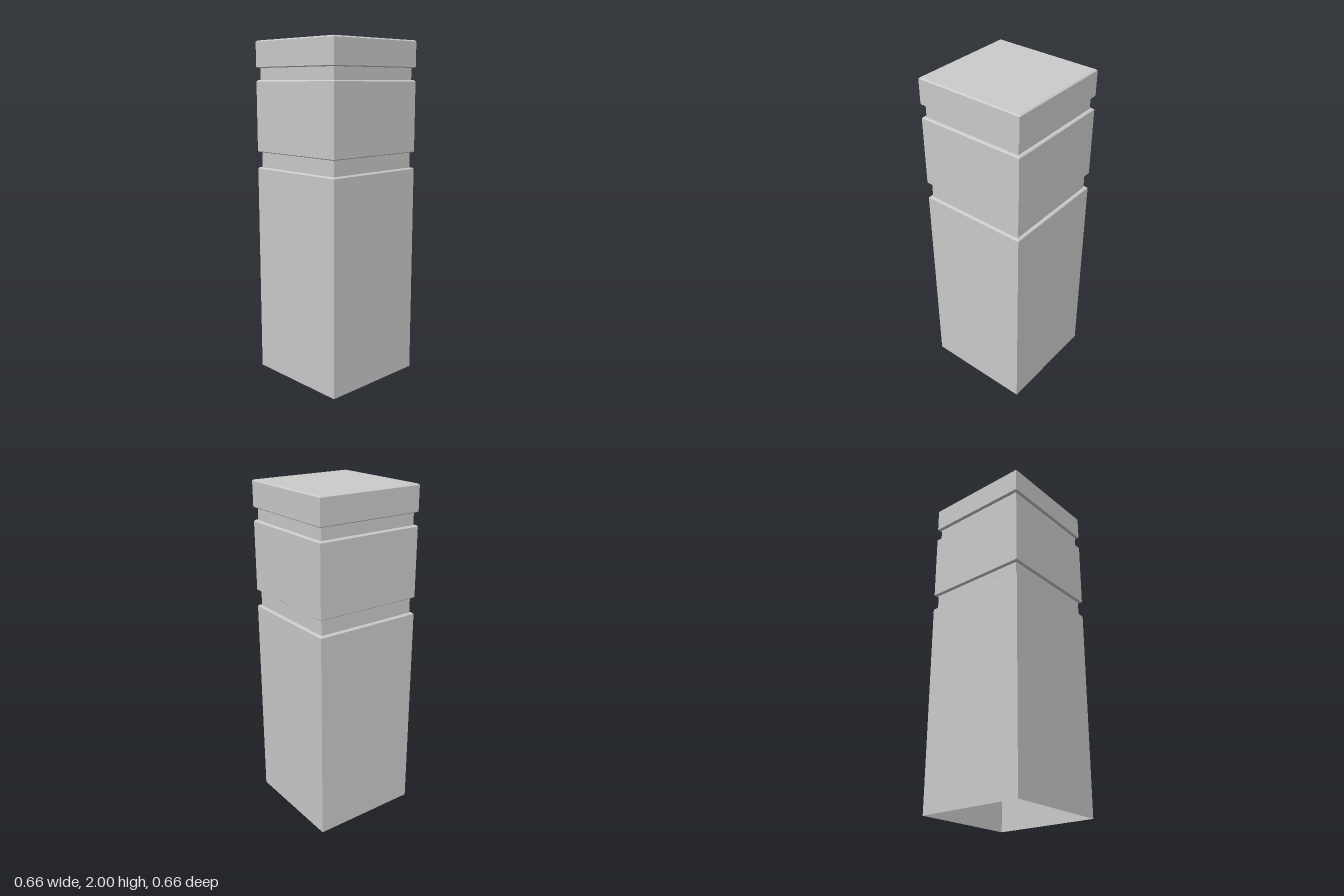
import * as THREE from 'three';

const HALF = 0.329;   // half width of the blocks
const NECK = 0.311;   // half width of the grooves
const BEVEL = 0.007;

// Square shell swept from a [halfWidth, y] profile, listed bottom to top
function squareShell(name, profile, material) {
  const points = profile.map(([r, y]) => new THREE.Vector2(r * Math.SQRT2, y));
  const mesh = new THREE.Mesh(new THREE.LatheGeometry(points, 4, Math.PI / 4), material);
  mesh.name = name;
  return mesh;
}

export function createModel() {
  const model = new THREE.Group();
  model.name = 'bollard';
  const material = new THREE.MeshStandardMaterial({
    color: 0xcccccc, flatShading: true, side: THREE.DoubleSide,
  });

  // Shaft, open at the bottom, with a bevelled shoulder
  model.add(squareShell('shaft', [
    [HALF, 0], [HALF, 1.255], [HALF - BEVEL, 1.262], [NECK, 1.262],
  ], material));

  // Block between the two grooves
  model.add(squareShell('middleBlock', [
    [NECK, 1.353], [HALF - BEVEL, 1.353], [HALF, 1.358],
    [HALF, 1.767], [HALF - BEVEL, 1.774], [NECK, 1.774],
  ], material));

  // Closed cap
  model.add(squareShell('cap', [
    [NECK, 1.844], [HALF - BEVEL, 1.844], [HALF, 1.849],
    [HALF, 1.993], [HALF - BEVEL, 2], [0, 2],
  ], material));

  // Recessed grooves
  [['lowerGroove', 1.262, 1.353], ['upperGroove', 1.774, 1.844]].forEach(([name, y0, y1]) => {
    model.add(squareShell(name, [[NECK, y0], [NECK, y1]], material));
  });

  return model;
}
